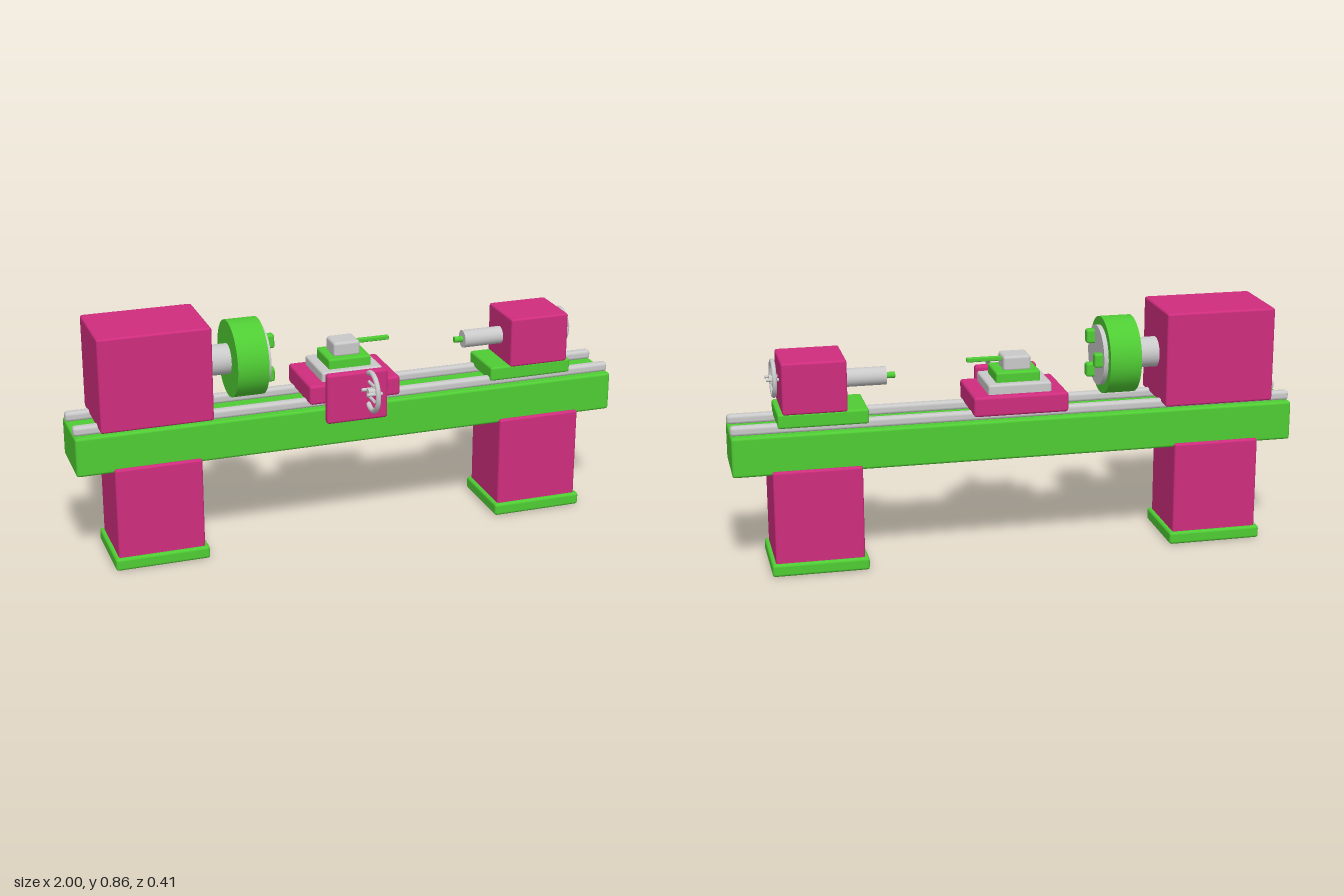
import * as THREE from 'three';
import { RoundedBoxGeometry } from 'three/addons/geometries/RoundedBoxGeometry.js';

const material = (name, color) => {
  const m = new THREE.MeshStandardMaterial({ color });
  m.name = name;
  return m;
};

export function createModel() {
  const pink = material('pink paint', 0xcf2d7e);
  const green = material('green paint', 0x4fcc34);
  const steel = material('steel', 0xc9c9c9);
  const model = new THREE.Group();
  model.name = 'lathe';
  const AXIS_Z = -0.06;

  const add = (parent, name, geometry, mat, x, y, z) => {
    const mesh = new THREE.Mesh(geometry, mat);
    mesh.name = name;
    mesh.position.set(x, y, z);
    parent.add(mesh);
    return mesh;
  };
  // Softly rounded box given by its extents on each axis
  const box = (name, mat, [x0, x1], [y0, y1], [z0, z1], r = 0.008) =>
    add(model, name, new RoundedBoxGeometry(x1 - x0, y1 - y0, z1 - z0, 2, r), mat,
      (x0 + x1) / 2, (y0 + y1) / 2, (z0 + z1) / 2);
  // Cylinder lying along x
  const rod = (name, mat, x0, x1, r, y, z = AXIS_Z, parent = model) =>
    add(parent, name, new THREE.CylinderGeometry(r, r, x1 - x0, 40).rotateZ(Math.PI / 2), mat,
      (x0 + x1) / 2, y, z);

  // Pedestals
  for (const [side, x] of [['right', -0.717], ['left', 0.711]]) {
    box(side + 'Foot', green, [x - 0.169, x + 0.169], [0, 0.045], [-0.201, 0.083], 0.01);
    box(side + 'Leg', pink, [x - 0.155, x + 0.155], [0.01, 0.375], [-0.188, 0.069]);
  }

  // Bed and guide rails
  box('bed', green, [-1, 1], [0.36, 0.502], [-0.174, 0.055], 0.01);
  for (const z of [0.0125, -0.131])
    box('rail', steel, [-1, 1], [0.499, 0.534], [z - 0.017, z + 0.017], 0.012);

  // Headstock, spindle and chuck
  box('headstock', pink, [-0.915, -0.52], [0.52, 0.857], [-0.201, 0.083]);
  rod('spindle', steel, -0.54, -0.42, 0.054, 0.688);
  rod('chuck', green, -0.43, -0.318, 0.137, 0.688);
  rod('chuckFace', steel, -0.33, -0.302, 0.107, 0.688);
  for (let i = 0; i < 3; i++) {
    const a = Math.PI / 3 + i * Math.PI * 2 / 3;
    const y = 0.688 + Math.sin(a) * 0.071, z = AXIS_Z + Math.cos(a) * 0.071;
    box('chuckJaw', green, [-0.315, -0.273], [y - 0.025, y + 0.025], [z - 0.017, z + 0.017], 0.008);
  }

  // Carriage with cross slide, tool post and cutting tool
  box('saddle', pink, [-0.17, 0.166], [0.524, 0.595], [-0.19, 0.067], 0.01);
  box('apron', pink, [-0.115, 0.11], [0.455, 0.638], [0.062, 0.094], 0.01);
  box('crossSlide', steel, [-0.115, 0.11], [0.585, 0.629], [-0.163, 0.036]);
  box('compoundRest', green, [-0.081, 0.077], [0.62, 0.665], [-0.136, 0.01]);
  box('toolPost', steel, [-0.053, 0.045], [0.66, 0.714], [-0.11, -0.018], 0.01);
  box('cuttingTool', green, [0.03, 0.168], [0.69, 0.706], [-0.073, -0.057], 0.004);

  // Tailstock with quill and centre
  box('tailstockBase', green, [0.527, 0.84], [0.52, 0.572], [-0.161, 0.039]);
  box('tailstock', pink, [0.6, 0.823], [0.568, 0.75], [-0.165, 0.046]);
  rod('quill', steel, 0.452, 0.62, 0.032, 0.66);
  rod('centre', green, 0.42, 0.46, 0.011, 0.66);

  // Handwheels: rim, hub, two upright-set bars and two pins along the axle
  const handwheel = (name, x, y, z, outer) => {
    const wheel = new THREE.Group();
    wheel.name = name;
    wheel.position.set(x, y, z);
    const tube = outer * 0.12, half = outer * 0.37, offset = outer * 0.35, r = outer * 0.08;
    add(wheel, 'rim', new THREE.TorusGeometry(outer - tube, tube, 12, 48).rotateY(Math.PI / 2), steel, 0, 0, 0);
    rod('hub', steel, -outer * 0.2, outer * 0.2, outer * 0.17, 0, 0, wheel);
    for (const s of [-1, 1]) {
      rod('pin', steel, -half, half, r, 0, s * offset, wheel);
      add(wheel, 'bar', new THREE.CylinderGeometry(r, r, half * 2, 16).rotateX(Math.PI / 2), steel, 0, s * offset, 0);
    }
    model.add(wheel);
  };
  handwheel('carriageHandwheel', 0.038, 0.573, 0.127, 0.077);
  handwheel('tailstockHandwheel', 0.841, 0.674, AXIS_Z, 0.068);

  return model;
}
